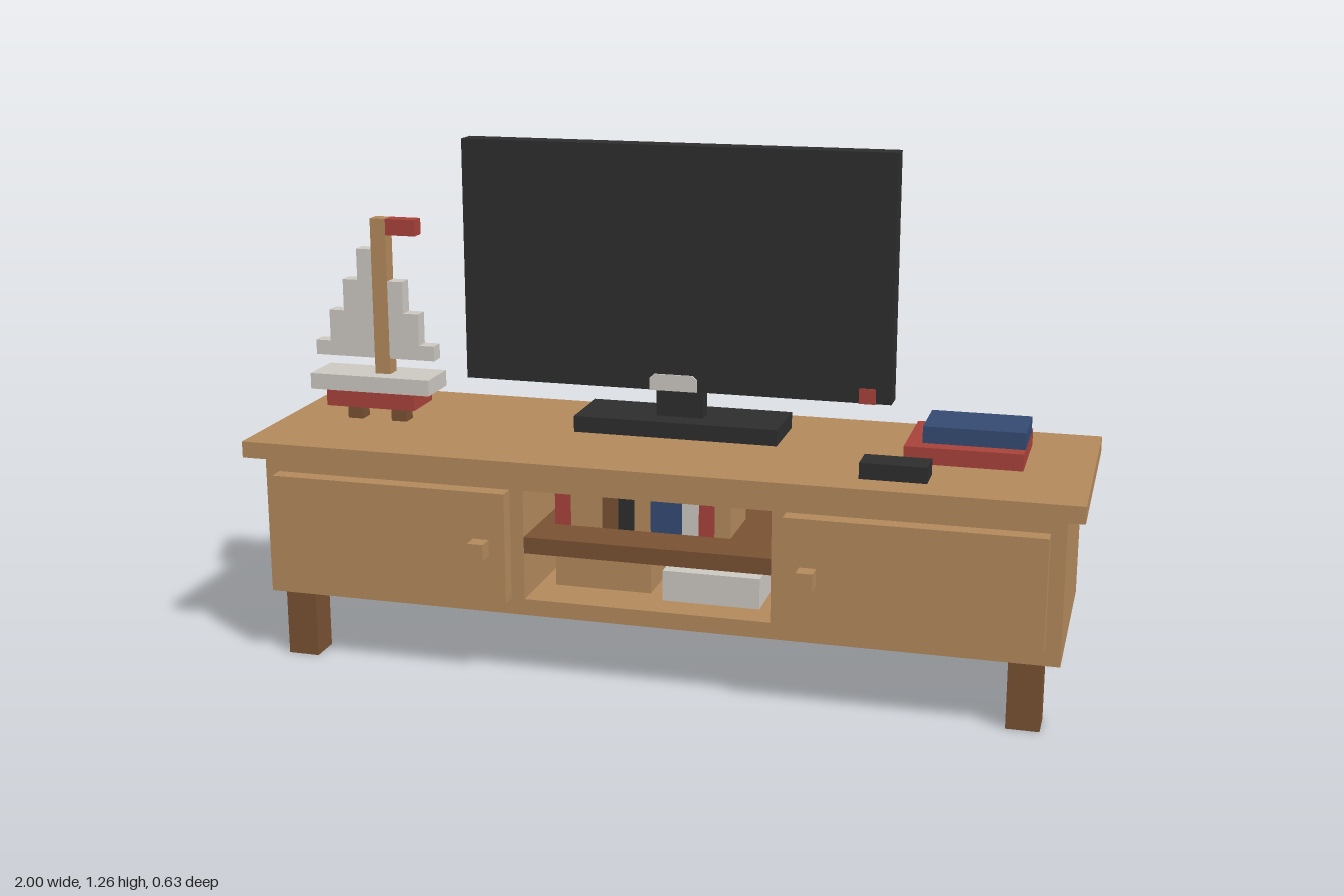
import * as THREE from 'three';

const mat = (name, color) => {
  const m = new THREE.MeshStandardMaterial({ color });
  m.name = name;
  return m;
};

export function createModel() {
  const root = new THREE.Group();
  root.name = 'mediaConsole';
  const oak = mat('oak', 0xb2895b), walnut = mat('walnut', 0x785132), black = mat('black', 0x2d2d2d);
  const white = mat('offWhite', 0xcbc8c1), red = mat('red', 0xa7423a), blue = mat('blue', 0x354a72);

  const group = (name) => {
    const g = new THREE.Group();
    g.name = name;
    root.add(g);
    return g;
  };
  // Box given by its lower and upper limits on each axis
  const box = (parent, name, m, x0, x1, y0, y1, z0, z1) => {
    const mesh = new THREE.Mesh(new THREE.BoxGeometry(x1 - x0, y1 - y0, z1 - z0), m);
    mesh.position.set((x0 + x1) / 2, (y0 + y1) / 2, (z0 + z1) / 2);
    mesh.name = name;
    parent.add(mesh);
  };

  // Cabinet carcass with an open centre bay
  const cab = group('cabinet');
  box(cab, 'top', oak, -1, 1, 0.51, 0.55, -0.315, 0.275);
  box(cab, 'bottomPanel', oak, -0.96, 0.96, 0.16, 0.2, -0.275, 0.235);
  box(cab, 'topRail', oak, -0.96, 0.96, 0.47, 0.51, -0.275, 0.235);
  box(cab, 'backPanel', oak, -0.3, 0.3, 0.2, 0.47, -0.275, -0.235);
  box(cab, 'bayBack', walnut, -0.3, 0.3, 0.2, 0.47, -0.235, -0.2);
  box(cab, 'shelf', walnut, -0.3, 0.3, 0.315, 0.355, -0.2, 0.234);
  for (const s of [-1, 1]) {
    const side = (name, m, a, b, ...r) => box(cab, name, m, Math.min(s * a, s * b), Math.max(s * a, s * b), ...r);
    side('sideCabinet', oak, 0.3, 0.96, 0.2, 0.47, -0.275, 0.235);
    side('door', oak, 0.333, 0.925, 0.2, 0.47, 0.235, 0.275);
    side('knob', oak, 0.373, 0.412, 0.315, 0.355, 0.275, 0.315);
    side('frontLeg', walnut, 0.845, 0.922, 0, 0.16, 0.157, 0.235);
    side('backLeg', walnut, 0.845, 0.922, 0, 0.16, -0.275, -0.196);
  }
  for (const x of [0.39, -0.3]) box(cab, 'cableHole', walnut, x - 0.012, x + 0.012, 0.4, 0.424, -0.278, -0.275);

  // Shelf contents: [x0, x1, top, colour]
  const shelfBooks = group('shelfBooks');
  for (const [x0, x1, top, m] of [
    [-0.26, -0.22, 0.435, red], [-0.22, -0.14, 0.468, oak], [-0.14, -0.1, 0.435, walnut],
    [-0.1, -0.06, 0.468, black], [-0.06, -0.02, 0.435, oak], [-0.02, 0.02, 0.435, blue],
    [0.02, 0.057, 0.468, blue], [0.057, 0.098, 0.468, white], [0.098, 0.136, 0.435, red],
    [0.136, 0.175, 0.435, oak],
  ]) box(shelfBooks, 'book', m, x0, x1, 0.355, top, -0.04, 0.118);
  box(cab, 'storageBox', oak, -0.26, -0.02, 0.2, 0.315, -0.04, 0.118);
  box(cab, 'mediaPlayer', white, 0.02, 0.255, 0.2, 0.275, -0.04, 0.157);

  // Television
  const tv = group('television');
  box(tv, 'screen', black, -0.53, 0.527, 0.67, 1.26, -0.078, -0.02);
  box(tv, 'rearHousing', black, -0.373, 0.373, 0.747, 1.18, -0.118, -0.078);
  box(tv, 'neck', black, -0.06, 0.057, 0.59, 0.747, -0.118, -0.078);
  box(tv, 'base', black, -0.255, 0.255, 0.55, 0.59, -0.197, -0.02);
  box(tv, 'powerLight', red, 0.45, 0.49, 0.669, 0.706, -0.08, -0.017);
  // Plain badge with clipped upper corners
  const s = new THREE.Shape([[-0.06, 0.67], [0.057, 0.67], [0.057, 0.7], [0.046, 0.71], [-0.049, 0.71], [-0.06, 0.7]]
    .map(([x, y]) => new THREE.Vector2(x, y)));
  const badge = new THREE.Mesh(new THREE.ExtrudeGeometry(s, { depth: 0.006, bevelEnabled: false }), white);
  badge.position.z = -0.022;
  badge.name = 'frontBadge';
  tv.add(badge);

  // Loose items on the top
  const items = group('tableItems');
  box(items, 'remote', black, 0.49, 0.645, 0.55, 0.588, 0.12, 0.196);
  box(items, 'lowerBook', red, 0.567, 0.843, 0.55, 0.59, -0.196, 0.04);
  box(items, 'upperBook', blue, 0.605, 0.843, 0.59, 0.63, -0.157, 0);

  // Model sailing boat with stepped sails
  const boat = group('sailboat');
  for (const x of [-0.845, -0.728]) box(boat, 'stand', walnut, x, x + 0.04, 0.55, 0.59, -0.04, 0);
  box(boat, 'hull', red, -0.883, -0.65, 0.59, 0.63, -0.078, 0.04);
  box(boat, 'deck', white, -0.925, -0.61, 0.63, 0.67, -0.078, 0.04);
  box(boat, 'mast', oak, -0.767, -0.727, 0.67, 1.06, -0.039, 0);
  box(boat, 'flag', red, -0.727, -0.65, 1.02, 1.06, -0.039, 0);
  const steps = [0.71, 0.747, 0.826, 0.905, 0.983];
  for (let i = 0; i < 4; i++) {
    box(boat, 'rearSail', white, -0.767 - 0.0393 * (4 - i), -0.767, steps[i], steps[i + 1], -0.039, 0);
    if (i < 3) box(boat, 'foreSail', white, -0.727, -0.727 + 0.0393 * (3 - i), steps[i], steps[i + 1], -0.039, 0);
  }
  return root;
}
